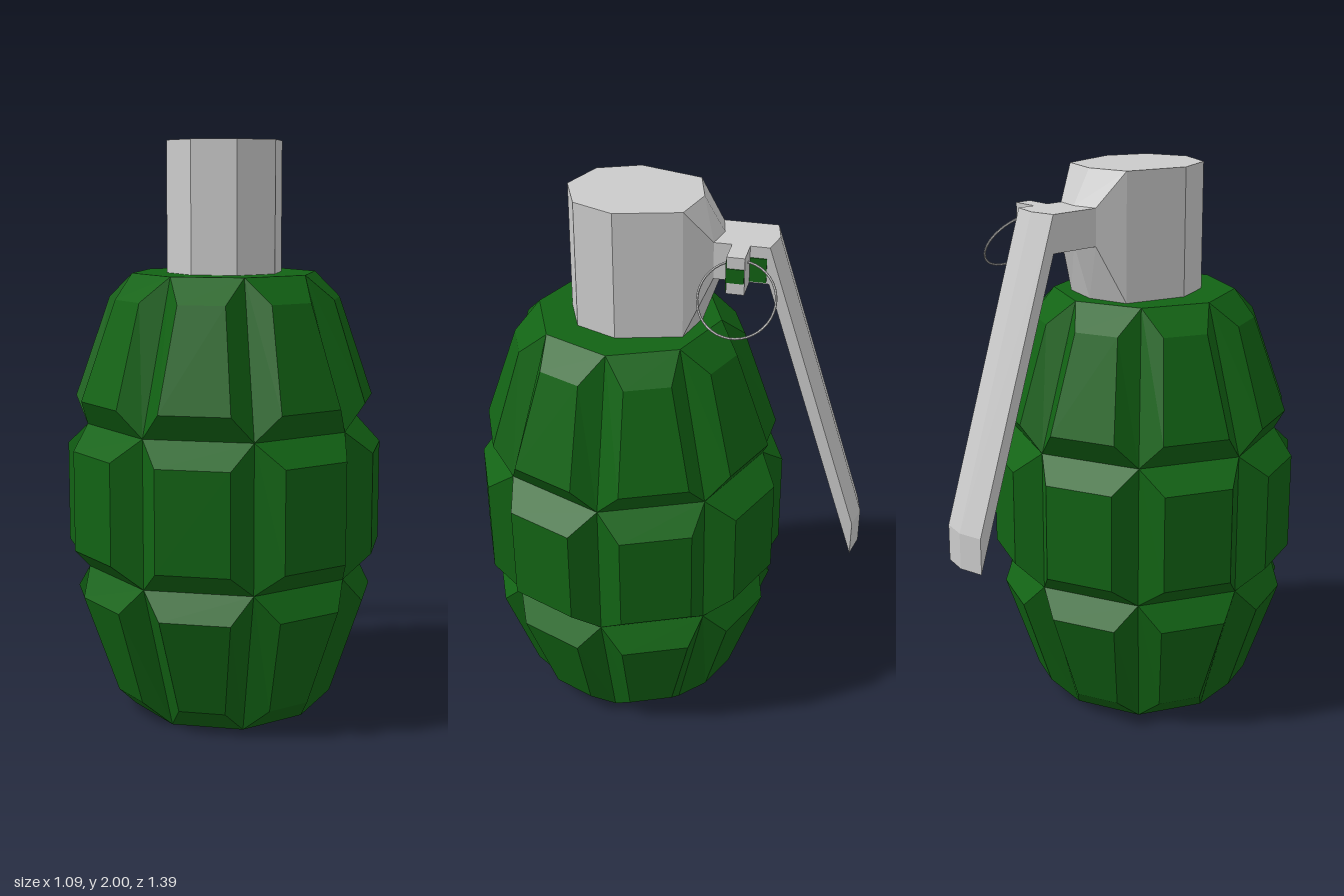
import * as THREE from 'three';

const grey = new THREE.MeshStandardMaterial({ color: 0xcccccc, flatShading: true });
const green = new THREE.MeshStandardMaterial({ color: 0x126314, flatShading: true });
const CZ = 0.15; // z of the body's axis
const SIDES = 8;

// Flat-faced geometry from convex polygons, corners counter-clockwise from outside
function facesGeometry(polygons) {
  const points = [];
  for (const p of polygons) {
    for (let i = 1; i < p.length - 1; i++) points.push(p[0], p[i], p[i + 1]);
  }
  const geometry = new THREE.BufferGeometry().setFromPoints(points);
  geometry.computeVertexNormals();
  return geometry;
}

// Capped skin through a row of matching rings
function loft(rings) {
  const polygons = [[...rings[0]].reverse(), rings[rings.length - 1]];
  for (let r = 0; r < rings.length - 1; r++) {
    const a = rings[r], b = rings[r + 1], n = a.length;
    for (let i = 0; i < n; i++) {
      const j = (i + 1) % n;
      polygons.push([a[i], a[j], b[j], b[i]]);
    }
  }
  return facesGeometry(polygons);
}

function addMesh(group, name, geometry, material) {
  const mesh = new THREE.Mesh(geometry, material);
  mesh.name = name;
  group.add(mesh);
  return mesh;
}

function addBox(group, name, material, [x0, x1], [y0, y1], [z0, z1]) {
  const mesh = addMesh(group, name, new THREE.BoxGeometry(x1 - x0, y1 - y0, z1 - z0), material);
  mesh.position.set((x0 + x1) / 2, (y0 + y1) / 2, (z0 + z1) / 2);
}

// Segmented body: each facet of three stacked octagonal bands carries a raised panel
function bodyGeometry() {
  const polygons = [];
  const half = Math.PI / SIDES;
  const edge = (radius, y) => [radius * Math.cos(half), radius * Math.sin(half), y];
  // Groove edges and raised panel edges as [distance from axis, half width, height]
  const bands = [
    { base: [edge(0.325, 0), edge(0.485, 0.52)], panel: [[0.394, 0.08, 0.085], [0.508, 0.12, 0.43]] },
    { base: [edge(0.485, 0.52), edge(0.485, 1.03)], panel: [[0.538, 0.125, 0.6], [0.538, 0.125, 0.95]] },
    { base: [edge(0.485, 1.03), edge(0.325, 1.55)], panel: [[0.508, 0.12, 1.12], [0.394, 0.08, 1.465]] },
  ];
  const bottom = [], top = [];
  for (let s = 0; s < SIDES; s++) {
    const angle = (2 * s + 1) * half;
    const corner = ([d, h, y], side) => new THREE.Vector3(
      d * Math.sin(angle) + side * h * Math.cos(angle), y,
      CZ + d * Math.cos(angle) - side * h * Math.sin(angle));
    const quad = ([low, high]) => [corner(low, -1), corner(low, 1), corner(high, 1), corner(high, -1)];
    for (const { base, panel } of bands) {
      const b = quad(base), p = quad(panel);
      polygons.push(p);
      for (let i = 0; i < 4; i++) {
        const j = (i + 1) % 4;
        polygons.push([b[i], b[j], p[j], p[i]]);
      }
    }
    bottom.push(corner(bands[0].base[0], -1));
    top.push(corner(bands[2].base[1], -1));
  }
  polygons.push(bottom.reverse(), top);
  return facesGeometry(polygons);
}

// Eight-sided neck, drawn out towards the back
function neckGeometry() {
  const outline = [[0, 0.355], [0.145, 0.295], [0.203, 0.15], [0.145, -0.07],
    [0, -0.11], [-0.145, -0.07], [-0.203, 0.15], [-0.145, 0.295]];
  return loft([1.55, 2].map((y) => outline.map(([x, z]) => new THREE.Vector3(x, y, z))));
}

// Arm and lever: one six-cornered section with a centre ridge, swept back and down
function leverGeometry() {
  const section = (w, low, high, z, ridge) => [
    [0, high, ridge], [w, high, z], [w, low, z],
    [0, low, ridge], [-w, low, z], [-w, high, z],
  ].map((p) => new THREE.Vector3(...p));
  return loft([
    section(0.145, 1.55, 2, -0.07, -0.11),
    section(0.09, 1.75, 1.88, -0.16, -0.18),
    section(0.09, 1.75, 1.88, -0.345, -0.365),
    section(0.09, 0.7, 0.83, -0.68, -0.7),
  ]);
}

export function createModel() {
  const model = new THREE.Group();
  model.name = 'grenade';

  addMesh(model, 'body', bodyGeometry(), green);
  addMesh(model, 'neck', neckGeometry(), grey);
  addMesh(model, 'lever', leverGeometry(), grey);

  // Pin block on the arm's left side, with green insets
  const pin = new THREE.Group();
  pin.name = 'pin';
  model.add(pin);
  addBox(pin, 'pinBlock', grey, [0.08, 0.185], [1.75, 1.88], [-0.28, -0.22]);
  addBox(pin, 'pinFrontInset', green, [0.095, 0.18], [1.755, 1.865], [-0.23, -0.217]);
  addBox(pin, 'pinSideInset', green, [0.17, 0.188], [1.79, 1.84], [-0.278, -0.218]);
  addBox(pin, 'armInset', green, [0.08, 0.093], [1.755, 1.84], [-0.336, -0.278]);

  // Thin pull ring, tilted outwards
  const ring = addMesh(model, 'pullRing', new THREE.TorusGeometry(0.128, 0.004, 6, 40), grey);
  ring.position.set(0.21, 1.745, -0.26);
  ring.quaternion.setFromUnitVectors(
    new THREE.Vector3(0, 0, 1), new THREE.Vector3(0.77, 0.64, 0).normalize());

  return model;
}
